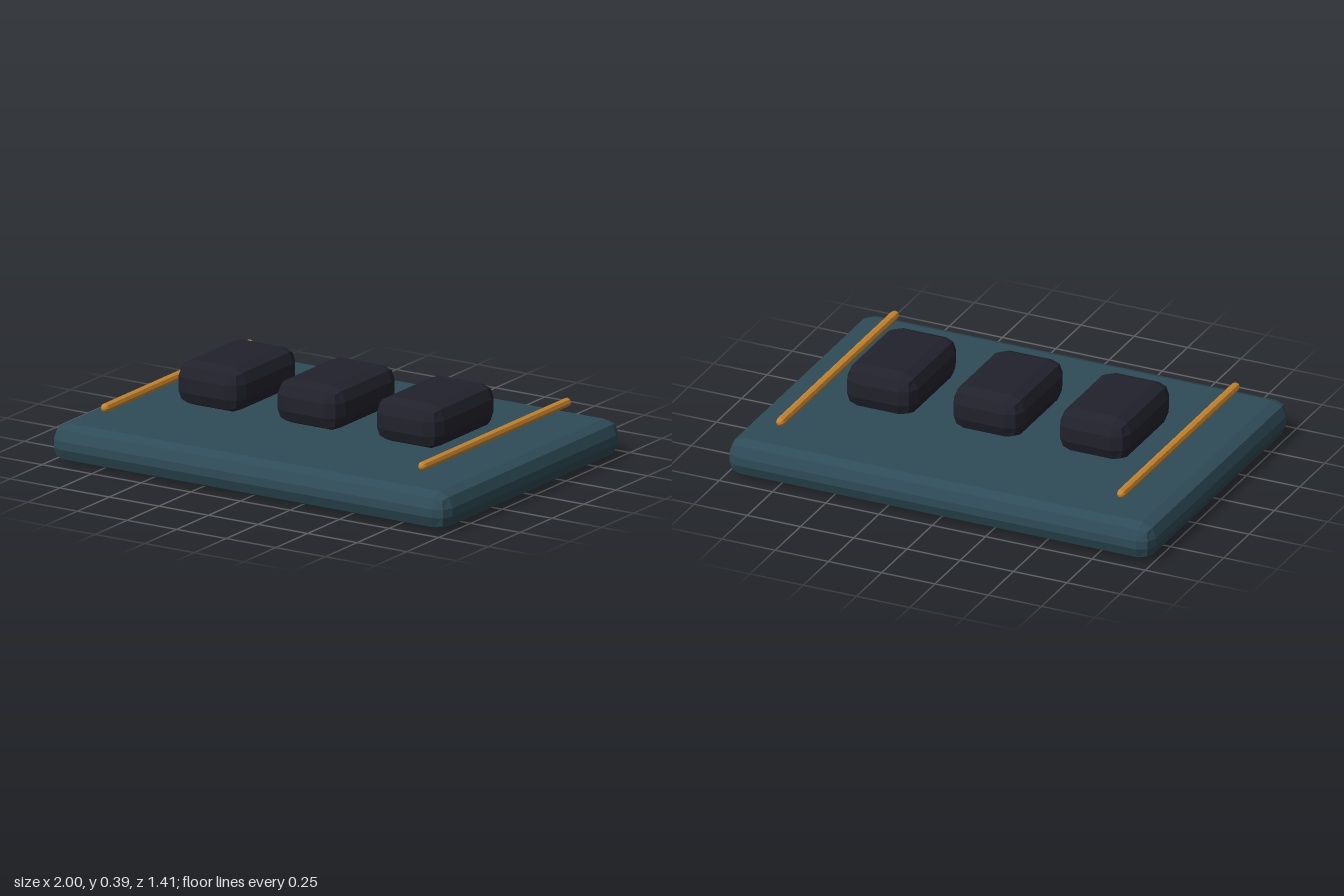
import * as THREE from 'three';
import { RoundedBoxGeometry } from 'three/addons/geometries/RoundedBoxGeometry.js';

function material(name, color) {
  const m = new THREE.MeshStandardMaterial({ color, flatShading: true });
  m.name = name;
  return m;
}

export function createModel() {
  const group = new THREE.Group();
  group.name = 'panel';
  const slate = material('slate blue', 0x2f4c58);
  const charcoal = material('charcoal', 0x22222d);
  const bronze = material('bronze', 0xc6852f);

  const add = (name, geometry, mat, x, y) => {
    const mesh = new THREE.Mesh(geometry, mat);
    mesh.name = name;
    mesh.position.set(x, y, 0);
    group.add(mesh);
    return mesh;
  };

  // Base slab with bevelled edges
  add('base', new RoundedBoxGeometry(2, 0.167, 1.413, 1, 0.065), slate, 0, 0.0835);

  // Three blocks floating just above the base
  const blockGeometry = new RoundedBoxGeometry(0.33, 0.197, 0.5, 1, 0.066);
  ['rightBlock', 'middleBlock', 'leftBlock'].forEach((name, i) =>
    add(name, blockGeometry, charcoal, (i - 1) * 0.5, 0.288));

  // Round-ended rails along both sides
  const railGeometry = new THREE.CapsuleGeometry(0.02, 1.127, 4, 8).rotateX(Math.PI / 2);
  add('rightRail', railGeometry, bronze, -0.8, 0.237);
  add('leftRail', railGeometry, bronze, 0.8, 0.237);

  return group;
}
